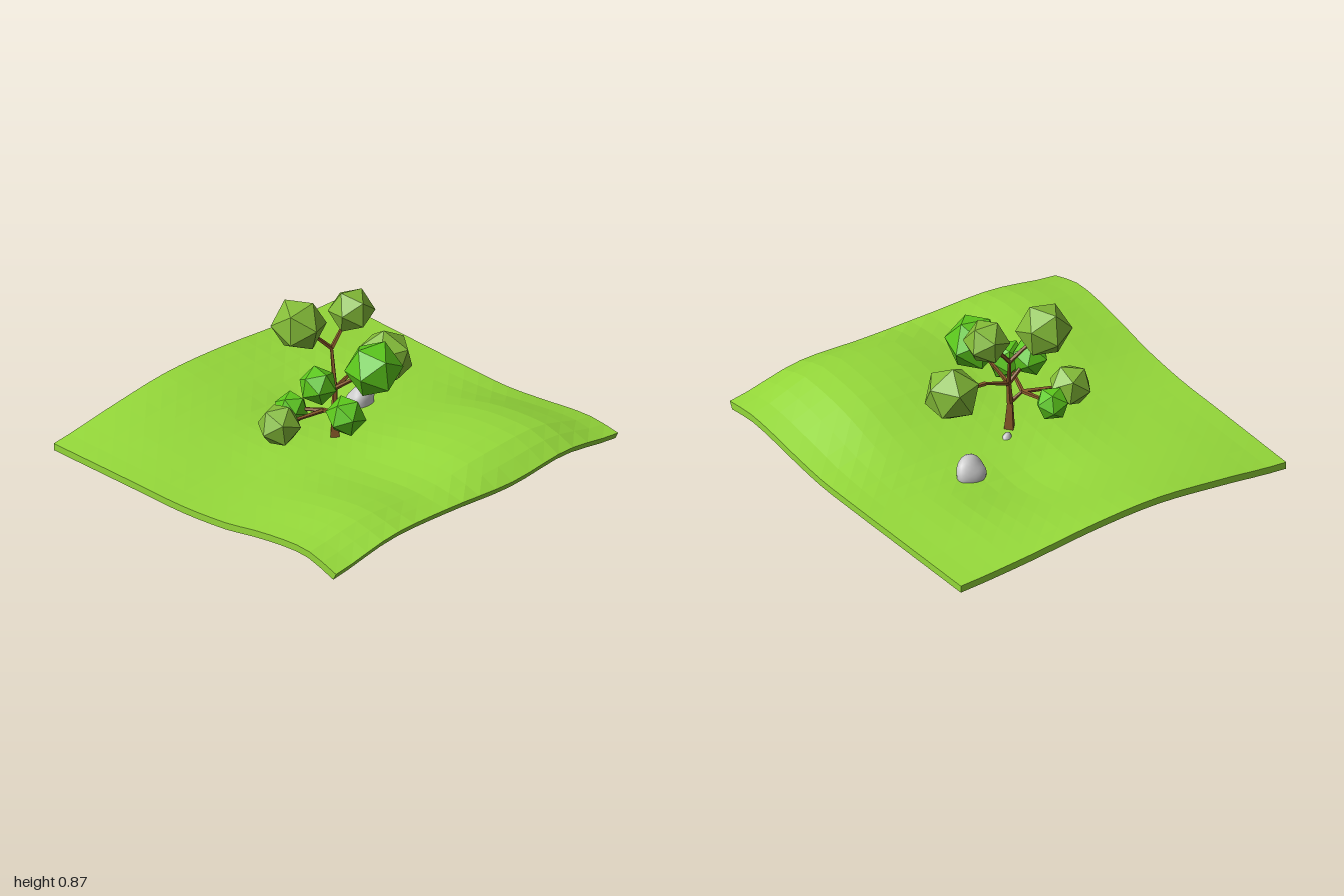
import * as THREE from 'three';
import { mergeVertices } from 'three/addons/utils/BufferGeometryUtils.js';

const paint = (color, flatShading = true) => new THREE.MeshStandardMaterial({ color, flatShading });
const grass = paint(0x95d93a), bark = paint(0x8a5a2a), stone = paint(0xcccccc, false);
const brightLeaf = paint(0x5cc81c), oliveLeaf = paint(0x84bc38);

// Ground heights: one row per z, one column per x
const colX = [-1, -0.6, -0.2, 0.2, 0.6, 1];
const rowZ = [-1, -0.7, -0.4, -0.1, 0.2, 0.45, 0.7, 0.85, 1];
const heights = [
  [0.075, 0.12, 0.155, 0.14, 0.1, 0.075],
  [0.08, 0.11, 0.12, 0.11, 0.1, 0.075],
  [0.085, 0.1, 0.1, 0.06, 0.09, 0.075],
  [0.09, 0.1, 0.12, 0.105, 0.095, 0.075],
  [0.12, 0.14, 0.145, 0.17, 0.16, 0.08],
  [0.17, 0.2, 0.18, 0.235, 0.23, 0.11],
  [0.2, 0.24, 0.21, 0.262, 0.26, 0.145],
  [0.19, 0.235, 0.21, 0.25, 0.255, 0.15],
  [0.145, 0.205, 0.2, 0.185, 0.2, 0.135],
];

// Smooth curve through values at given stations
function smooth(stations, values, s) {
  const last = stations.length - 1;
  let i = 0;
  while (i < last - 1 && s > stations[i + 1]) i++;
  const t = THREE.MathUtils.clamp((s - stations[i]) / (stations[i + 1] - stations[i]), 0, 1);
  const a = values[Math.max(i - 1, 0)], b = values[i], c = values[i + 1], d = values[Math.min(i + 2, last)];
  return b + 0.5 * t * (c - a + t * (2 * a - 5 * b + 4 * c - d + t * (3 * (b - c) + d - a)));
}
const groundHeight = (x, z) => smooth(rowZ, heights.map((row) => smooth(colX, row, x)), z);

// Thin slab bent to the ground heights
function makeGround() {
  const geo = new THREE.BoxGeometry(2, 0.038, 2, 18, 1, 20);
  const p = geo.attributes.position;
  for (let i = 0; i < p.count; i++) {
    const x = p.getX(i), z = p.getZ(i), under = p.getY(i) < 0;
    const front = THREE.MathUtils.smoothstep(z, 0.6, 1);
    const wave = 0.03 - 0.03 * Math.exp(-(((x - 0.3) / 0.4) ** 2)) + (under ? 0.02 : 0);
    p.setXYZ(i, x * 0.985, groundHeight(x, z) - (under ? 0.038 : 0), z - front * wave);
  }
  geo.computeVertexNormals();
  return new THREE.Mesh(geo, grass);
}

// Tapered limb between two points
function limb(name, from, to, r0, r1, sides = 5) {
  const a = new THREE.Vector3(...from), b = new THREE.Vector3(...to);
  const dir = b.clone().sub(a);
  const mesh = new THREE.Mesh(new THREE.CylinderGeometry(r1, r0, dir.length(), sides), bark);
  mesh.position.copy(a).add(b).multiplyScalar(0.5);
  mesh.quaternion.setFromUnitVectors(new THREE.Vector3(0, 1, 0), dir.normalize());
  mesh.name = name;
  return mesh;
}

// Lumpy smooth stone
function rock(name, pos, size, seed) {
  let geo = new THREE.IcosahedronGeometry(1, 3);
  geo.deleteAttribute('normal');
  geo.deleteAttribute('uv');
  geo = mergeVertices(geo, 1e-4);
  const p = geo.attributes.position, v = new THREE.Vector3();
  for (let i = 0; i < p.count; i++) {
    v.fromBufferAttribute(p, i);
    const lump = 0.95 + 0.1 * Math.sin(2.6 * v.x + seed) + 0.1 * Math.sin(3.1 * v.z + 2 * v.x + seed)
      + 0.06 * Math.sin(3.5 * v.y - 2 * v.z);
    v.multiplyScalar(lump);
    p.setXYZ(i, v.x * size[0], v.y * size[1], v.z * size[2]);
  }
  geo.computeVertexNormals();
  const mesh = new THREE.Mesh(geo, stone);
  mesh.position.set(...pos);
  mesh.name = name;
  return mesh;
}

export function createModel() {
  const model = new THREE.Group();
  const ground = makeGround();
  ground.name = 'ground';
  model.add(ground);

  // Foliage: centre, radius, material
  const leaves = [
    [[-0.11, 0.74, -0.165], 0.142, oliveLeaf],
    [[0.18, 0.735, -0.085], 0.118, oliveLeaf],
    [[0.07, 0.555, 0.18], 0.147, brightLeaf],
    [[0.33, 0.44, 0], 0.147, oliveLeaf],
    [[-0.33, 0.29, -0.08], 0.113, oliveLeaf],
    [[-0.15, 0.48, 0.01], 0.1, brightLeaf],
    [[-0.135, 0.375, 0.19], 0.104, brightLeaf],
    [[-0.165, 0.285, -0.16], 0.088, brightLeaf],
  ];
  const foliage = new THREE.Group();
  foliage.name = 'foliage';
  leaves.forEach(([pos, r, material], i) => {
    const ball = new THREE.Mesh(new THREE.IcosahedronGeometry(r, 0), material);
    ball.position.set(...pos);
    ball.rotation.set(0.4 + i * 1.3, i * 0.9, 0.2 + i * 0.7);
    ball.name = 'leafBall';
    foliage.add(ball);
  });

  // Trunk and branches, meeting at a few forks
  const fork = [-0.015, 0.27, -0.01], crown = [0, 0.39, -0.02];
  const low = [-0.09, 0.305, -0.01], high = [0.045, 0.57, -0.09], side = [0.14, 0.44, -0.02];
  const wood = new THREE.Group();
  wood.name = 'trunkAndBranches';
  wood.add(
    limb('trunk', [-0.01, 0.09, -0.01], fork, 0.036, 0.018, 4),
    limb('upperTrunk', fork, crown, 0.017, 0.013),
  );
  const branches = [
    [fork, low], [crown, high], [crown, side],
    [high, leaves[0][0]], [high, leaves[1][0]], [crown, leaves[2][0]], [side, leaves[3][0]],
    [low, leaves[4][0]], [crown, leaves[5][0]], [low, leaves[6][0]], [low, leaves[7][0]],
  ];
  branches.forEach(([a, b]) => wood.add(limb('branch', a, b, 0.012, 0.008)));

  const tree = new THREE.Group();
  tree.name = 'tree';
  tree.add(wood, foliage);
  model.add(tree);

  // Stones half sunk in the ground
  model.add(
    rock('largeRock', [0.352, 0.09, -0.2], [0.092, 0.088, 0.075], 0.8),
    rock('smallRock', [0.045, 0.09, -0.065], [0.035, 0.045, 0.028], 2.1),
    rock('pebble', [0, 0.08, -0.06], [0.03, 0.035, 0.024], 4),
  );
  return model;
}
